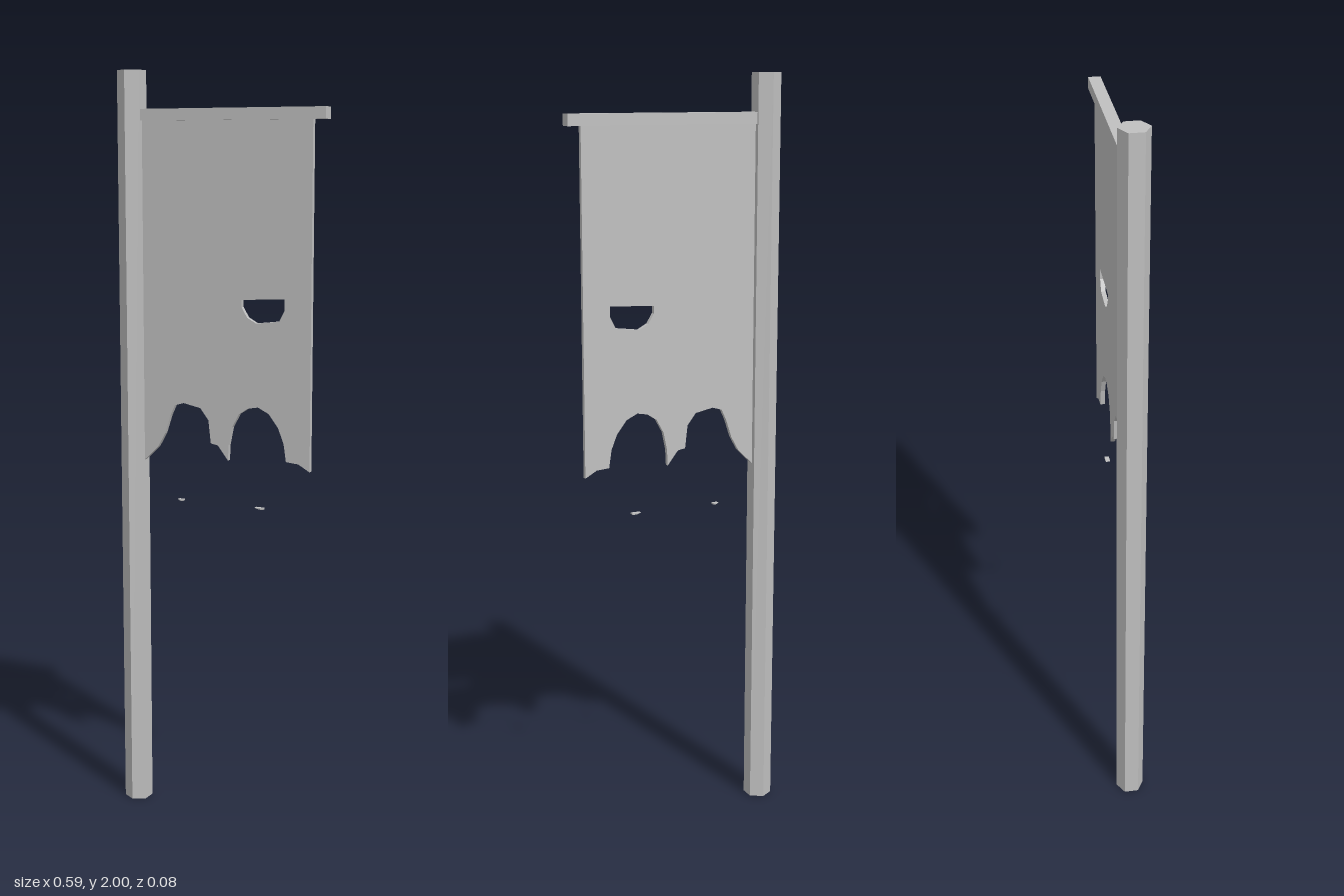
import * as THREE from 'three';

const grey = new THREE.MeshStandardMaterial({ color: 0xc0c0c0 });
grey.name = 'plain grey';
grey.flatShading = true;

const points = (list) => list.map(([x, y]) => new THREE.Vector2(x, y));

function addMesh(group, name, geometry, x = 0, y = 0, z = 0) {
  const mesh = new THREE.Mesh(geometry, grey);
  mesh.name = name;
  mesh.position.set(x, y, z);
  group.add(mesh);
}

// Flat sheet of cloth, centred on z = 0
function sheet(outline, holes = [], depth = 0.012) {
  const shape = new THREE.Shape(points(outline));
  holes.forEach((h) => shape.holes.push(new THREE.Path(points(h))));
  return new THREE.ExtrudeGeometry(shape, { depth, bevelEnabled: false }).translate(0, 0, -depth / 2);
}

export function createModel() {
  const group = new THREE.Group();
  group.name = 'tatteredBanner';

  // Six-sided pole with corners facing front and back
  addMesh(group, 'pole', new THREE.CylinderGeometry(0.038, 0.038, 2, 6), -0.263, 1, 0);

  // Crossbar running out from the pole
  addMesh(group, 'crossbar', new THREE.BoxGeometry(0.535, 0.03, 0.031), 0.0275, 1.886, 0);

  // Cloth with a torn lower edge and a torn slot
  const tornEdge = [
    [-0.235, 0.968], [-0.204, 0.997], [-0.188, 1.013], [-0.167, 1.05], [-0.151, 1.098],
    [-0.137, 1.128], [-0.11, 1.136], [-0.06, 1.126], [-0.036, 1.095], [-0.029, 1.034],
    [-0.008, 1.03], [0.008, 1.01], [0.022, 0.992], [0.024, 1.034], [0.034, 1.082],
    [0.054, 1.118], [0.08, 1.135], [0.109, 1.14], [0.14, 1.125], [0.167, 1.09],
    [0.183, 1.05], [0.19, 1.003], [0.225, 1.0], [0.257, 0.982],
  ];
  const slot = [
    [0.061, 1.417], [0.183, 1.424], [0.183, 1.395], [0.168, 1.366],
    [0.103, 1.358], [0.077, 1.372], [0.061, 1.398],
  ];
  addMesh(group, 'cloth', sheet([...tornEdge, [0.257, 1.875], [-0.235, 1.875]], [slot]));

  // Loose scraps below the torn edge
  [[-0.122, 0.016], [0.112, 0.025]].forEach(([x, w]) => {
    const scrap = sheet([[-w / 2, 0.002], [0, -0.002], [w / 2, -0.002], [w / 2, 0.002]]);
    addMesh(group, 'clothScrap', scrap, x, 0.871, 0);
  });

  return group;
}
